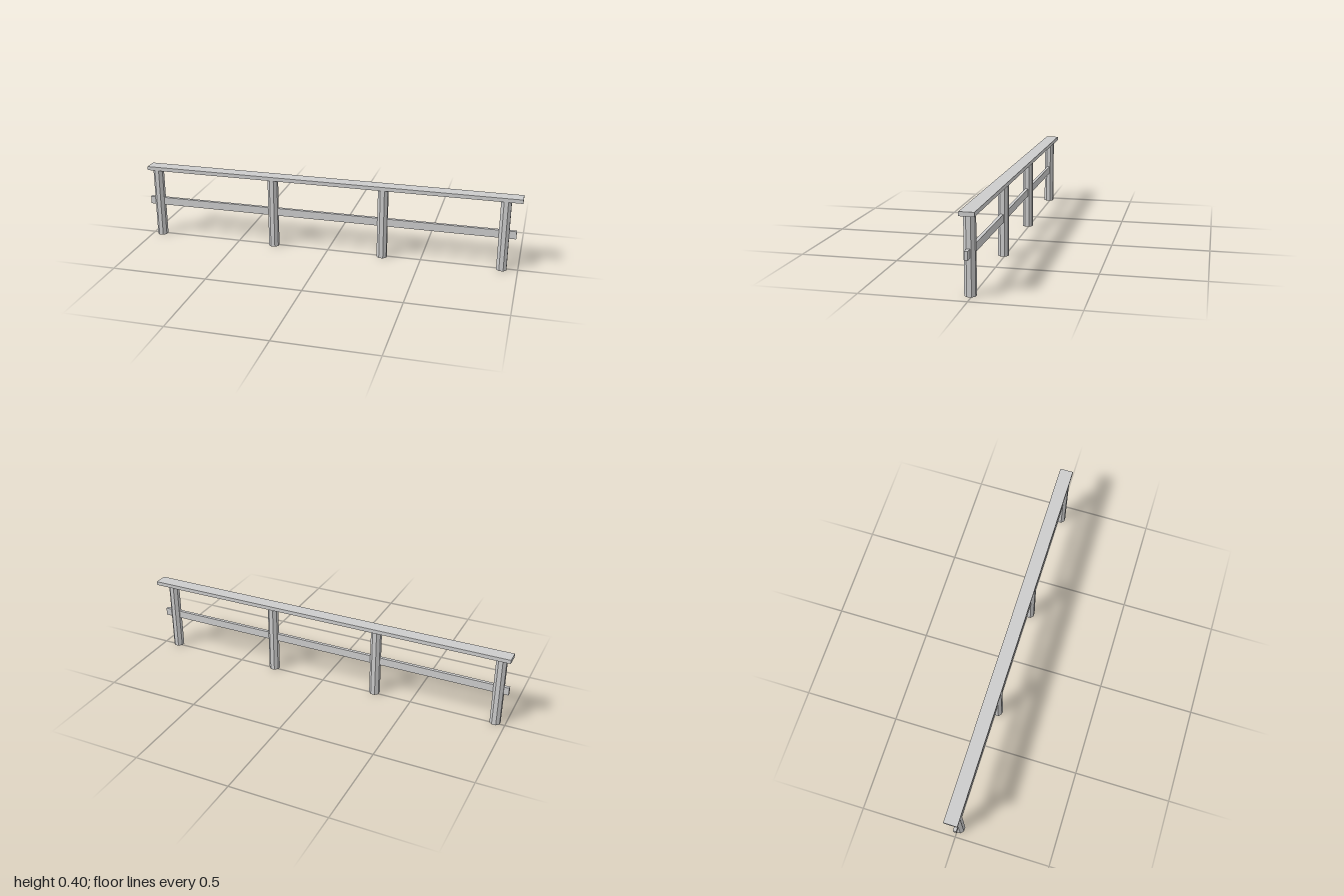
import * as THREE from 'three';

export function createModel() {
  const group = new THREE.Group();
  const material = new THREE.MeshStandardMaterial({ color: 0xcccccc, flatShading: true });

  const add = (name, geometry, x, y, z) => {
    const mesh = new THREE.Mesh(geometry, material);
    mesh.name = name;
    mesh.position.set(x, y, z);
    group.add(mesh);
  };

  // Flat plank lying across the tops of the posts
  add('topRail', new THREE.BoxGeometry(2, 0.02, 0.07), 0, 0.385, 0);

  // Narrow rail running through the posts at mid height
  add('middleRail', new THREE.BoxGeometry(1.98, 0.041, 0.017), -0.01, 0.197, 0.0105);

  // Octagonal posts with a flat side to the front
  const post = new THREE.CylinderGeometry(0.028, 0.028, 0.375, 8).rotateY(Math.PI / 8);
  [-0.948, -0.297, 0.296, 0.918].forEach((x, i) => {
    add(`post${i + 1}`, post, x, 0.1875, 0.0085);
  });

  return group;
}
